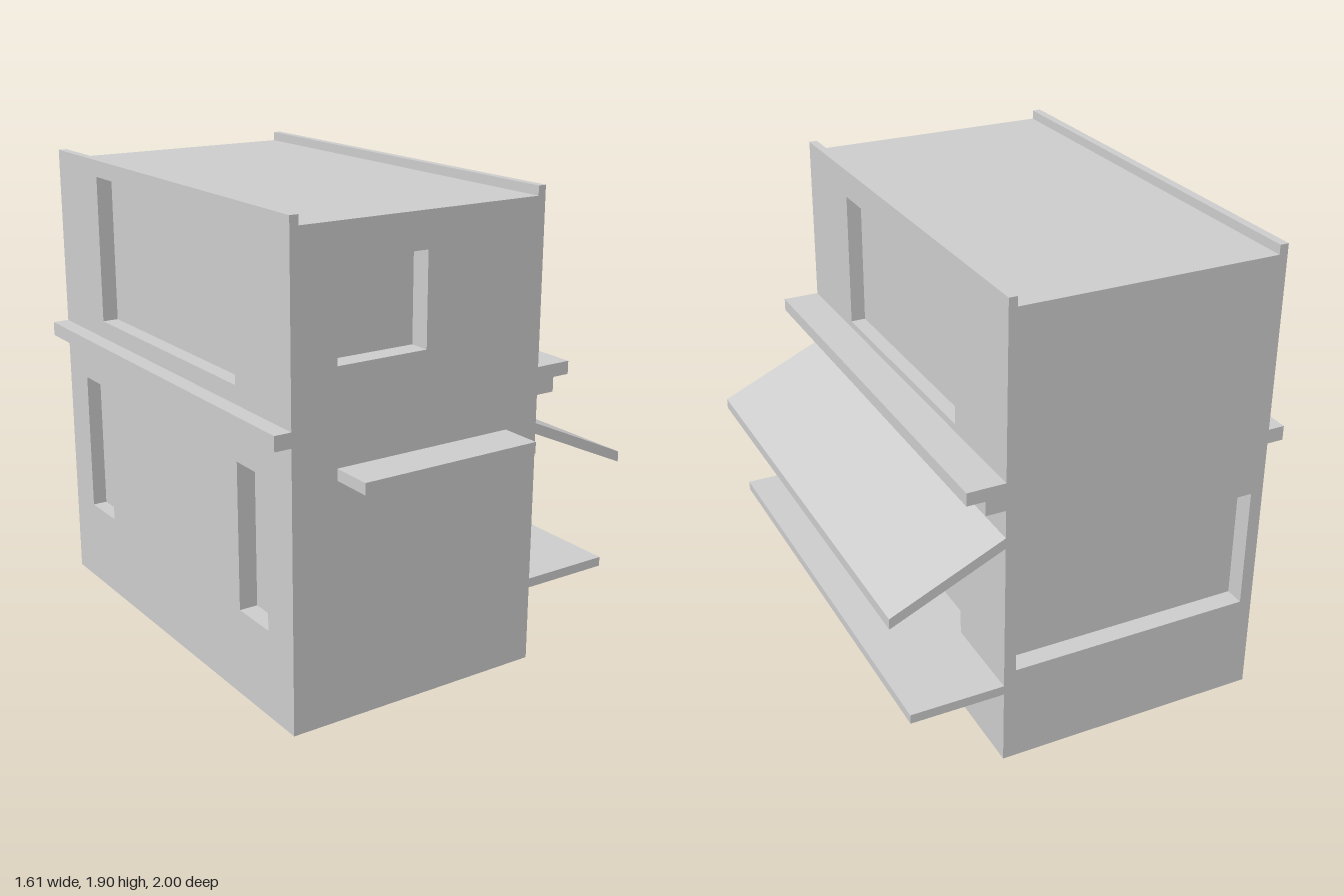
import * as THREE from 'three';

const L = -0.737, R = 0.358, F = 0.83, B = -1, ROOF = 1.86;
const material = new THREE.MeshStandardMaterial({ color: 0xcccccc, side: THREE.DoubleSide });

function add(parent, name, geometry) {
  const mesh = new THREE.Mesh(geometry, material);
  mesh.name = name;
  parent.add(mesh);
  return mesh;
}

// Block given by its limits on each axis
function block(parent, name, x0, x1, y0, y1, z0, z1) {
  add(parent, name, new THREE.BoxGeometry(x1 - x0, y1 - y0, z1 - z0))
    .position.set((x0 + x1) / 2, (y0 + y1) / 2, (z0 + z1) / 2);
}

// Thin wall facing local +z; each recess is [u0, u1, y0, y1, depth]
function wall(parent, name, u0, u1, recesses) {
  const group = new THREE.Group();
  group.name = name;
  const rect = (T, a, b, c, d) => {
    const p = new T();
    p.moveTo(a, c).lineTo(b, c).lineTo(b, d).lineTo(a, d).closePath();
    return p;
  };
  const shape = rect(THREE.Shape, u0, u1, 0, ROOF);
  for (const [a, b, c, d, depth] of recesses) {
    shape.holes.push(rect(THREE.Path, a, b, c, d));
    // Pocket: a box without its outward (+z) face
    const box = new THREE.BoxGeometry(b - a, d - c, depth);
    const index = Array.from(box.index.array);
    index.splice(24, 6);
    box.setIndex(index);
    box.clearGroups();
    add(group, 'windowRecess', box).position.set((a + b) / 2, (c + d) / 2, -depth / 2);
  }
  add(group, 'wallPanel', new THREE.ShapeGeometry(shape));
  parent.add(group);
  return group;
}

export function createModel() {
  const model = new THREE.Group();
  model.name = 'building';

  // Hollow shell, open at the bottom
  const front = wall(model, 'frontWall', L, R, [[-0.55, -0.17, 1.36, 1.72, 0.085]]);
  front.position.z = F;

  const back = wall(model, 'backWall', -R, -L, [[-0.31, 0.685, 0.4, 0.895, 0.08]]);
  back.rotation.y = Math.PI;
  back.position.z = B;

  const right = wall(model, 'awningSideWall', -F, -B, [
    [-0.42, 0.59, 1.24, 1.785, 0.06],
    [-0.455, 0.63, 0.343, 0.945, 0.06],
  ]);
  right.rotation.y = Math.PI / 2;
  right.position.x = R;

  const left = wall(model, 'plainSideWall', B, F, [
    [-0.635, 0.455, 1.23, 1.83, 0.065],
    [-0.83, -0.62, 0.35, 0.94, 0.06],
    [0.455, 0.66, 0.35, 0.94, 0.075],
  ]);
  left.rotation.y = -Math.PI / 2;
  left.position.x = L;

  // Roof with a low parapet along each side
  const roof = add(model, 'roof', new THREE.PlaneGeometry(R - L, F - B).rotateX(-Math.PI / 2));
  roof.position.set((L + R) / 2, ROOF, (F + B) / 2);
  block(model, 'parapet', L, L + 0.035, ROOF, 1.897, B, F);
  block(model, 'parapet', R - 0.033, R, ROOF, 1.897, B, F);

  // Ledges and shelf
  block(model, 'upperLedge', R, 0.51, 1.158, 1.21, B, F);
  block(model, 'lowerLedge', R, 0.437, 1.1, 1.158, B, F);
  block(model, 'sideLedge', -0.805, L, 1.1, 1.158, B, F);
  block(model, 'counter', R, 0.735, 0.305, 0.343, B, F);
  block(model, 'frontLedge', -0.55, 0.21, 0.945, 0.99, F, 1);

  // Sloping awning
  const profile = new THREE.Shape([
    new THREE.Vector2(R, 0.945), new THREE.Vector2(0.805, 0.742),
    new THREE.Vector2(0.805, 0.785), new THREE.Vector2(R, 0.988),
  ]);
  add(model, 'awning', new THREE.ExtrudeGeometry(profile, { depth: F - B, bevelEnabled: false }))
    .position.z = B;

  return model;
}
